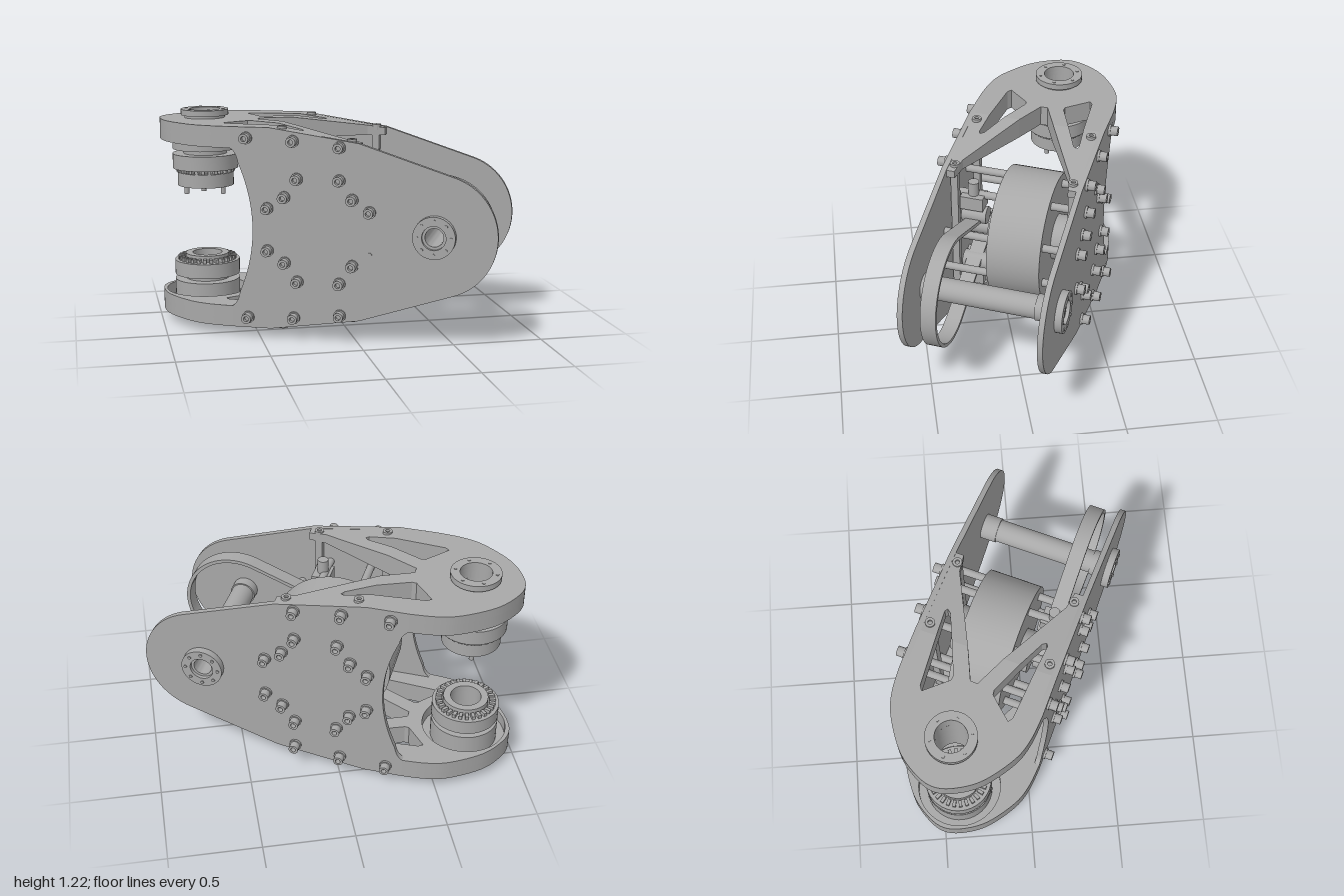
import * as THREE from 'three';
import { toCreasedNormals } from 'three/addons/utils/BufferGeometryUtils.js';

const MID = 0.605;        // height of the horizontal symmetry plane
const PIVOT = -0.83;      // vertical joint axis
const MOTOR = -0.07;      // motor axis
const HUB = 0.565;        // output shaft axis

const metal = new THREE.MeshStandardMaterial({ color: 0xa8a8a8 });
metal.name = 'grey metal';

function add(parent, name, geo, x = 0, y = 0, z = 0) {
  const m = new THREE.Mesh(geo, metal);
  m.name = name;
  m.position.set(x, y, z);
  parent.add(m);
  return m;
}
const crease = (g) => toCreasedNormals(g, 0.5);
const poly = (pts) => new THREE.Shape(pts.map(([x, y]) => new THREE.Vector2(x, y)));
const extrude = (shape, depth) =>
  crease(new THREE.ExtrudeGeometry(shape, { depth, bevelEnabled: false, curveSegments: 32 }));

// Ring of rectangular section, axis y
function ring(ri, ro, y0, y1, seg = 40) {
  const p = [[ri, y0], [ro, y0], [ro, y1], [ri, y1], [ri, y0]].map(([r, y]) => new THREE.Vector2(r, y));
  return crease(new THREE.LatheGeometry(p, seg));
}
const ringZ = (ri, ro, z0, z1) => ring(ri, ro, z0, z1).rotateX(Math.PI / 2);
const rodZ = (r, z0, z1, seg = 20) =>
  new THREE.CylinderGeometry(r, r, z1 - z0, seg).rotateX(Math.PI / 2).translate(0, 0, (z0 + z1) / 2);

// Socket-head screw with washer, pointing along +y
function screwGeo() {
  const p = [[0.034, 0], [0.034, 0.012], [0.027, 0.012], [0.027, 0.052], [0.014, 0.052], [0.014, 0.025], [0, 0.025]];
  return crease(new THREE.LatheGeometry(p.map(([r, y]) => new THREE.Vector2(r, y)), 18));
}

// Side plate with concave rear edge and rounded nose
function sidePlate() {
  const s = new THREE.Shape();
  const a = 1.25, R = 0.335;
  s.moveTo(-0.56, -0.557);
  s.lineTo(-0.34, -0.557);
  s.lineTo(0.155, -0.485);
  s.absarc(HUB, 0, R, -a, a, false);
  s.lineTo(0.155, 0.485);
  s.lineTo(-0.34, 0.557);
  s.lineTo(-0.56, 0.557);
  s.lineTo(-0.56, 0.44);
  s.quadraticCurveTo(-0.525, 0.42, -0.515, 0.36);
  s.quadraticCurveTo(-0.36, 0, -0.515, -0.36);
  s.quadraticCurveTo(-0.525, -0.42, -0.56, -0.44);
  const h = new THREE.Path();
  h.absarc(HUB, 0, 0.062, 0, Math.PI * 2, true);
  s.holes.push(h);
  return extrude(s, 0.03);
}

// Head of the arm, with the truss openings starting in its front edge
function armHead(holeR) {
  const half = [[-0.56, 0.39], [-0.7, 0.376], [-0.82, 0.335], [-0.975, 0.225], [-1.06, 0.105], [-1.09, 0]];
  const full = half.concat(half.slice(0, -1).reverse().map(([x, y]) => [x, -y]));
  const curve = new THREE.SplineCurve(full.map(([x, y]) => new THREE.Vector2(x, y)));
  const inner = [[-0.56, 0.36], [-0.34, 0.36], [-0.34, 0.273], [-0.62, 0.252], [-0.645, 0.235],
    [-0.54, 0.115], [-0.515, 0.112], [-0.34, 0.187], [-0.34, 0.098], [-0.51, 0.02]];
  const s = poly([
    ...curve.getPoints(60).map((p) => [p.x, p.y]),
    ...inner.map(([x, y]) => [x, -y]),
    ...inner.slice().reverse(),
  ]);
  const h = new THREE.Path();
  h.absarc(PIVOT, 0, holeR, 0, Math.PI * 2, true);
  s.holes.push(h);
  return s;
}

// Upper arm assembly; the lower one is the same turned over
function buildArm() {
  const g = new THREE.Group();
  const slab = (shape, top, depth) => extrude(shape, depth).rotateX(Math.PI / 2).translate(0, top, 0);
  add(g, 'arm head skin', slab(armHead(0.085), 0.557, 0.05));
  add(g, 'arm head rim', slab(armHead(0.235), 0.507, 0.067));

  // Rail and diagonal strut, thinning towards the tip
  for (const side of [1, -1]) {
    const leg = [[-0.34, 0.36], [0.16, 0.36], [0.16, 0.315], [0.06, 0.3], [-0.34, 0.098],
      [-0.34, 0.187], [-0.19, 0.255], [-0.175, 0.275], [-0.19, 0.285], [-0.34, 0.273]];
    const geo = slab(poly(leg.map(([x, y]) => [x, y * side])), 0.557, 0.117);
    const p = geo.attributes.position;
    for (let i = 0; i < p.count; i++)
      if (p.getY(i) > 0.5) p.setY(i, p.getY(i) - 0.15 * (p.getX(i) + 0.34));
    geo.computeVertexNormals();
    add(g, 'arm rail', geo);
    add(g, 'post screw', ring(0.012, 0.026, 0.47, 0.502), 0.105, 0, 0.33 * side);
    add(g, 'post screw', ring(0.012, 0.026, 0.5, 0.562), -0.284, 0, 0.33 * side);
  }

  // Pivot bearing
  add(g, 'pivot flange', ring(0.085, 0.135, 0.572, 0.605), PIVOT);
  add(g, 'pivot collar', ring(0.085, 0.115, 0.55, 0.575), PIVOT);
  for (let i = 0; i < 6; i++) {
    const a = (i / 6) * Math.PI * 2;
    add(g, 'flange screw', new THREE.CylinderGeometry(0.009, 0.009, 0.012, 10),
      PIVOT + 0.11 * Math.cos(a), 0.603, 0.11 * Math.sin(a));
  }
  add(g, 'bearing seat', ring(0.085, 0.187, 0.38, 0.51), PIVOT);
  add(g, 'bearing neck', ring(0.085, 0.125, 0.34, 0.39), PIVOT);
  add(g, 'bearing drum', ring(0.085, 0.187, 0.268, 0.352), PIVOT);
  add(g, 'bearing cap', ring(0.085, 0.125, 0.232, 0.27), PIVOT);
  for (let i = 0; i < 28; i++) {
    const a = (i / 28) * Math.PI * 2;
    const t = add(g, 'bearing tooth', new THREE.BoxGeometry(0.035, 0.022, 0.018),
      PIVOT + 0.15 * Math.cos(a), 0.258, -0.15 * Math.sin(a));
    t.rotation.y = a;
  }
  return g;
}

// Belt loop around the motor pulley and the shaft
function belt() {
  const outline = (path, t) => {
    const R = 0.285 + t, r = 0.055 + t, phi = Math.acos(0.23 / (HUB - MOTOR));
    path.absarc(HUB, 0, R, -(Math.PI - phi), Math.PI - phi, false);
    path.absarc(MOTOR, 0, r, Math.PI - phi, Math.PI + phi, false);
    path.closePath();
    return path;
  };
  const s = outline(new THREE.Shape(), 0.02);
  s.holes.push(outline(new THREE.Path(), 0));
  return extrude(s, 0.085);
}

export function createModel() {
  const model = new THREE.Group();
  model.name = 'motorised joint bracket';
  const body = new THREE.Group();
  body.name = 'body';
  body.rotation.y = THREE.MathUtils.degToRad(-24.5);
  body.position.set(0.025, MID, -0.055);
  model.add(body);

  // Arms
  const upper = buildArm();
  upper.name = 'upperArm';
  const lower = buildArm();
  lower.name = 'lowerArm';
  lower.rotation.x = Math.PI;
  body.add(upper, lower);

  // Extra output disc with studs under the upper bearing
  add(body, 'output disc', ring(0.085, 0.16, 0.168, 0.245), PIVOT);
  for (let i = 0; i < 6; i++) {
    const a = (i / 6) * Math.PI * 2 + 0.3;
    add(body, 'output stud', new THREE.CylinderGeometry(0.014, 0.014, i % 2 ? 0.02 : 0.05, 12),
      PIVOT + 0.12 * Math.cos(a), i % 2 ? 0.16 : 0.148, 0.12 * Math.sin(a));
  }

  // Bolt pattern in plate coordinates
  const circle = [];
  for (const sx of [1, -1]) for (const sy of [1, -1])
    for (const [x, y] of [[0.117, 0.283], [0.188, 0.181], [0.283, 0.117]])
      circle.push([MOTOR + sx * x, sy * y]);
  const edge = [];
  for (const s of [1, -1]) edge.push([-0.468, 0.498 * s], [-0.208, 0.487 * s], [0.049, 0.461 * s]);

  // Plates, screws, standoffs and shaft flanges on both sides
  const plate = sidePlate(), screw = screwGeo();
  for (const s of [1, -1]) {
    add(body, 'side plate', plate, 0, 0, s > 0 ? 0.36 : -0.39);
    for (const [x, y] of [...circle, ...edge]) {
      if (s > 0 && x > 0.2 && y < 0) {
        add(body, 'pin', rodZ(0.014, 0, 0.008), x, y, 0.388);
        continue;
      }
      add(body, 'plate screw', screw, x, y, 0.39 * s).rotation.x = (s * Math.PI) / 2;
    }
    for (const [x, y] of circle)
      if (Math.abs(Math.abs(y) - 0.181) > 0.01)
        add(body, 'standoff', s > 0 ? rodZ(0.022, 0.09, 0.365) : rodZ(0.022, -0.365, -0.19), x, y);
    add(body, 'shaft flange', s > 0 ? ringZ(0.065, 0.115, 0.39, 0.43) : ringZ(0.065, 0.115, -0.43, -0.39), HUB);
    add(body, 'shaft collar', s > 0 ? ringZ(0.05, 0.072, 0.3, 0.362) : ringZ(0.05, 0.072, -0.362, -0.27), HUB);
    for (let i = 0; i < 8; i++) {
      const a = (i / 8) * Math.PI * 2;
      add(body, 'flange screw', rodZ(0.009, -0.006, 0.006, 10),
        HUB + 0.092 * Math.cos(a), 0.092 * Math.sin(a), 0.43 * s);
    }
    // Upright posts joining the two arms
    add(body, 'post', new THREE.BoxGeometry(0.04, 0.93, 0.04), 0.105, 0, 0.33 * s);
    add(body, 'post', new THREE.BoxGeometry(0.04, 0.93, 0.04), -0.284, 0, 0.33 * s);
  }
  add(body, 'shaft', ringZ(0.05, 0.065, -0.41, 0.41), HUB);

  // Motor
  add(body, 'motor drum', ringZ(0.05, 0.365, -0.2, 0.1), MOTOR);
  add(body, 'motor rear hub', ringZ(0.04, 0.13, -0.28, -0.2), MOTOR);
  add(body, 'motor front hub', ringZ(0.04, 0.12, 0.1, 0.17), MOTOR);
  add(body, 'motor pulley', rodZ(0.055, 0.1, 0.3, 32), MOTOR);
  add(body, 'belt', belt(), 0, 0, 0.19);

  // Belt tensioners above and below the pulley
  for (const s of [1, -1]) {
    add(body, 'tensioner roller', rodZ(0.05, 0.16, 0.3, 28), 0.06, 0.16 * s);
    add(body, 'tensioner block', new THREE.BoxGeometry(0.1, 0.08, 0.13), 0.06, 0.25 * s, 0.24);
  }
  add(body, 'tensioner screw', new THREE.CylinderGeometry(0.03, 0.03, 0.09, 20), 0.06, 0.325, 0.24);
  return model;
}
